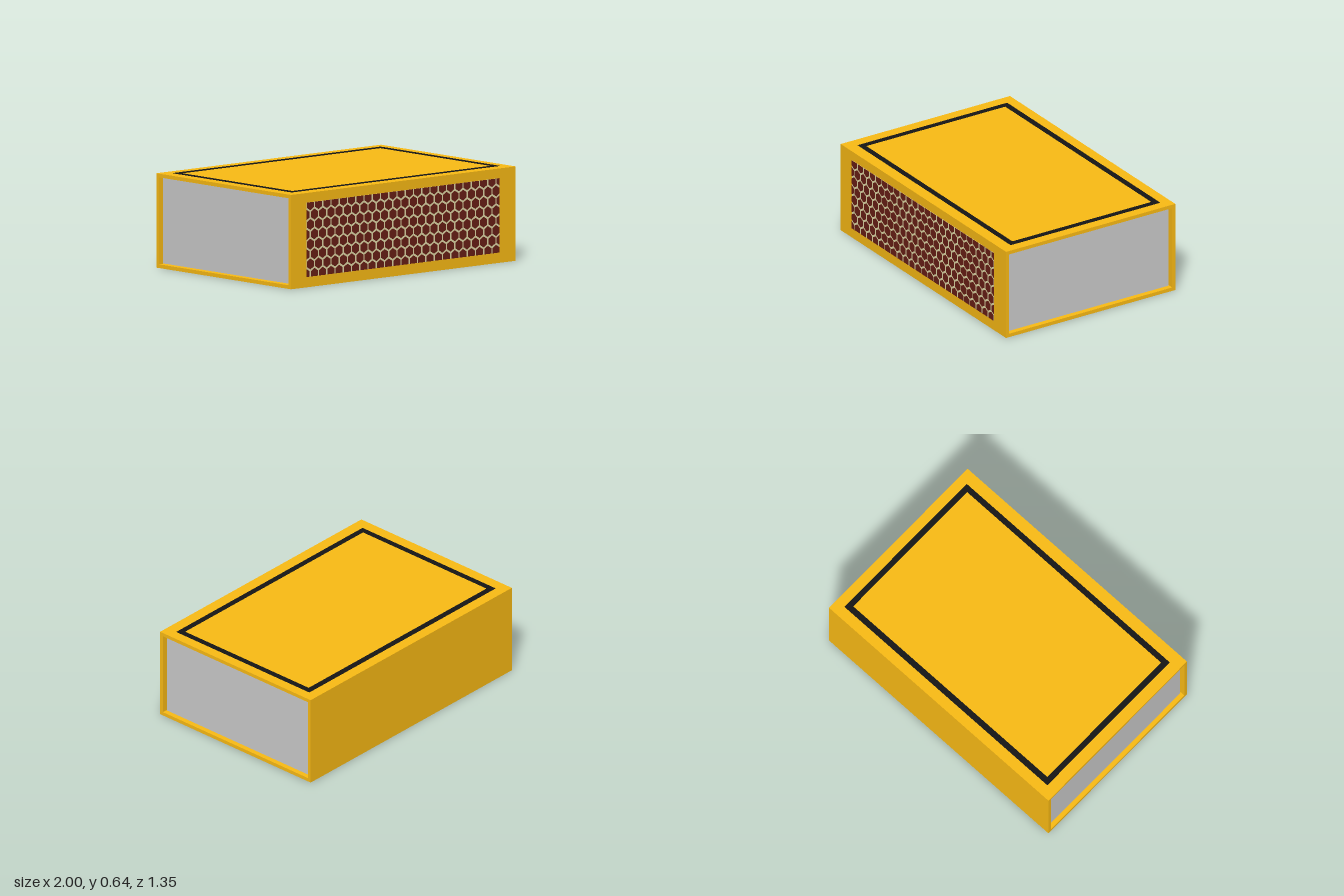
import * as THREE from 'three';

const W = 2, H = 0.635, ZB = -0.677, ZF = 0.673, WALL = 0.025;
const mat = (color) => new THREE.MeshStandardMaterial({ color });

function mesh(name, geometry, material, parent) {
  const m = new THREE.Mesh(geometry, material);
  m.name = name;
  parent.add(m);
  return m;
}

function rect(x0, y0, x1, y1, Type = THREE.Shape) {
  return new Type([[x0, y0], [x1, y0], [x1, y1], [x0, y1]].map(([x, y]) => new THREE.Vector2(x, y)));
}

function box(name, x0, x1, y0, y1, z0, z1, material, parent) {
  const m = mesh(name, new THREE.BoxGeometry(x1 - x0, y1 - y0, z1 - z0), material, parent);
  m.position.set((x0 + x1) / 2, (y0 + y1) / 2, (z0 + z1) / 2);
  return m;
}

// Keep the part of a convex polygon where sign * p[axis] <= sign * limit
function clip(points, axis, sign, limit) {
  const out = [];
  points.forEach((a, i) => {
    const b = points[(i + 1) % points.length];
    const da = sign * (a[axis] - limit), db = sign * (b[axis] - limit);
    if (da <= 0) out.push(a);
    if (da * db < 0) out.push(a.clone().lerp(b, da / (da - db)));
  });
  return out;
}

// Rows of hexagons, trimmed to the striking strip
function hexShapes(x0, x1, y0, y1) {
  const pitchX = 0.0735, pitchY = 0.0665, half = 0.0303, radius = 0.0365;
  const shapes = [];
  for (let row = 0; row < 8; row++) {
    const cy = 0.088 + row * pitchY;
    for (let col = -1; col < 25; col++) {
      const cx = -0.794 + (col + (row % 2 ? -0.5 : 0)) * pitchX;
      let pts = [[0, -1], [1, -0.5], [1, 0.5], [0, 1], [-1, 0.5], [-1, -0.5]]
        .map(([x, y]) => new THREE.Vector2(cx + x * half, cy + y * radius));
      pts = clip(clip(pts, 'x', -1, x0), 'x', 1, x1);
      pts = clip(clip(pts, 'y', -1, y0), 'y', 1, y1);
      if (pts.length > 2) shapes.push(new THREE.Shape(pts));
    }
  }
  return shapes;
}

export function createModel() {
  const group = new THREE.Group();
  group.name = 'matchbox';
  const yellow = mat(0xfabb14), grey = mat(0xcccccc), black = mat(0x151515);

  // Sleeve: rectangular tube, open at both ends
  const section = rect(-ZF, 0, -ZB, H);
  section.holes.push(rect(-ZF + WALL, WALL, -ZB - WALL, H - WALL, THREE.Path));
  const sleeve = new THREE.ExtrudeGeometry(section, { depth: W, bevelEnabled: false });
  sleeve.rotateY(Math.PI / 2).translate(-W / 2, 0, 0);
  mesh('sleeve', sleeve, yellow, group);

  // Sliding tray, set back a little from both ends
  const tray = new THREE.Group();
  tray.name = 'tray';
  group.add(tray);
  const tx = 0.97, z0 = ZB + 0.034, z1 = ZF - 0.034, y0 = 0.029, y1 = 0.605, t = 0.02;
  box('trayFloor', -tx, tx, y0, y0 + t, z0, z1, grey, tray);
  for (const s of [-1, 1]) {
    const x = s * (tx - t / 2);
    box('trayEnd', x - t / 2, x + t / 2, y0 + t, y1, z0, z1, grey, tray);
  }
  box('trayBackWall', -tx + t, tx - t, y0 + t, y1, z0, z0 + t, grey, tray);
  box('trayFrontWall', -tx + t, tx - t, y0 + t, y1, z1 - t, z1, grey, tray);

  // Printed border line on the top
  const border = rect(-0.92, -0.59, 0.93, 0.602);
  border.holes.push(rect(-0.88, -0.55, 0.89, 0.56, THREE.Path));
  const borderGeo = new THREE.ExtrudeGeometry(border, { depth: 0.002, bevelEnabled: false });
  mesh('topBorder', borderGeo.rotateX(-Math.PI / 2), black, group).position.y = H;

  // Striking strip: pale backing with dark hexagons
  const [sx0, sx1, sy0, sy1] = [-0.863, 0.855, 0.07, 0.57];
  box('strikerBacking', sx0, sx1, sy0, sy1, ZF, ZF + 0.002, mat(0xe0d8a6), group);
  const hexGeo = new THREE.ExtrudeGeometry(hexShapes(sx0, sx1, sy0, sy1), { depth: 0.002, bevelEnabled: false });
  mesh('strikerHexagons', hexGeo, mat(0x681e15), group).position.z = ZF + 0.002;

  return group;
}
